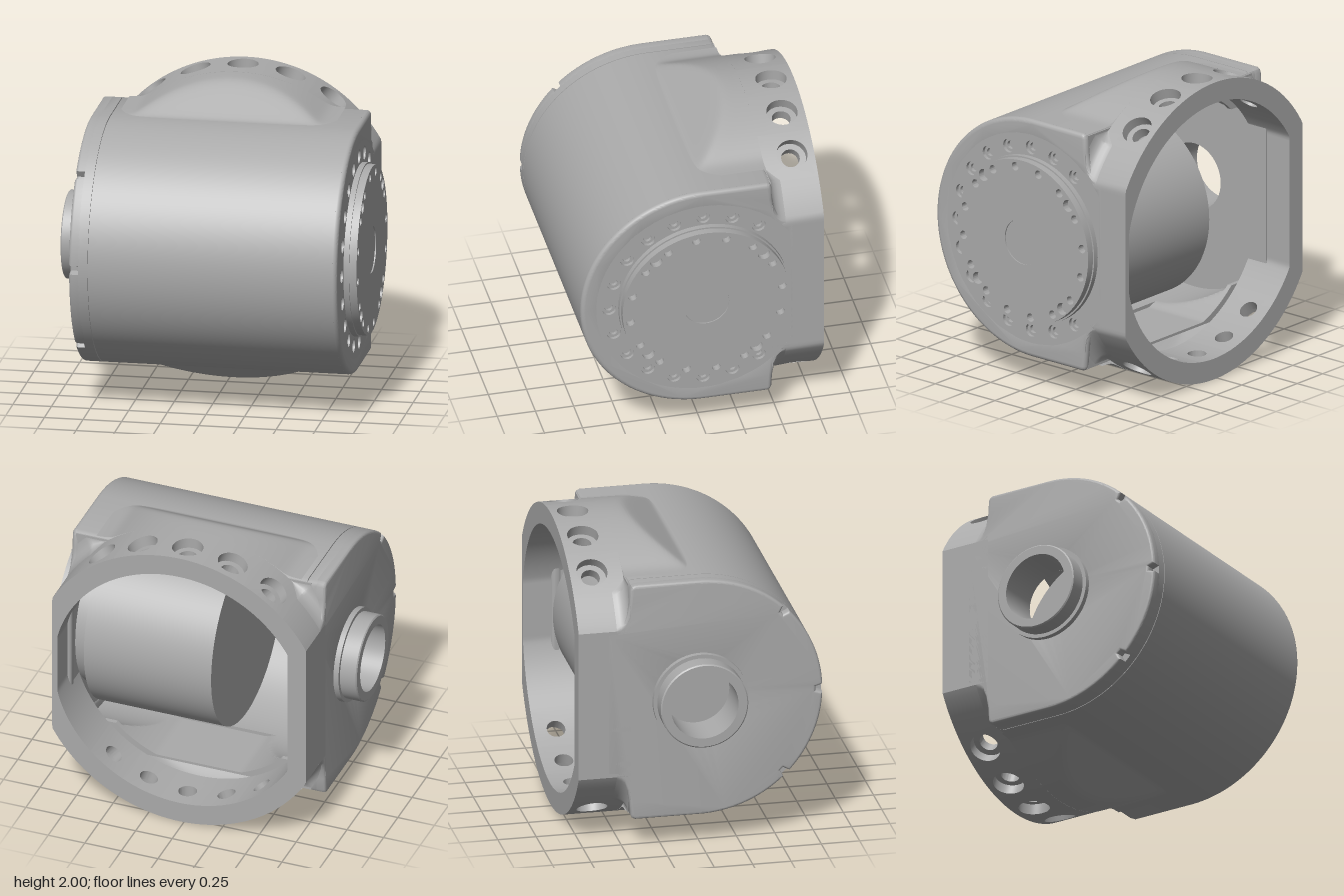
import * as THREE from 'three';
import { toCreasedNormals } from 'three/addons/utils/BufferGeometryUtils.js';

const CX = 0.03, CY = 1, RAD = Math.PI / 180;
const { clamp, lerp } = THREE.MathUtils;
const vec = ([a, b]) => new THREE.Vector2(a, b);

export function createModel() {
  const model = new THREE.Group();
  model.name = 'jointHousing';
  const metal = new THREE.MeshStandardMaterial({ color: 0xaaaaaa, side: THREE.DoubleSide });
  metal.name = 'grey metal';

  const add = (name, geo, x = 0, y = 0, z = 0) => {
    const mesh = new THREE.Mesh(toCreasedNormals(geo, 0.5), metal);
    mesh.name = name;
    mesh.position.set(x, y, z - 0.005);
    model.add(mesh);
    return mesh;
  };

  // Extrudes a side profile (drawn as -z, y) along x, from x0 to x1
  const extrudeX = (shape, x0, x1, bevel = 0) => new THREE.ExtrudeGeometry(shape, {
    depth: x1 - x0 - 2 * bevel, bevelEnabled: bevel > 0, bevelSize: bevel,
    bevelThickness: bevel, bevelOffset: -bevel, bevelSegments: 4, curveSegments: 32,
  }).rotateY(Math.PI / 2).translate(x0 + bevel, CY, 0);

  const cylinderX = (r, x0, x1) => new THREE.CylinderGeometry(r, r, x1 - x0, 96)
    .rotateZ(-Math.PI / 2).translate((x0 + x1) / 2, CY, 0);

  const hole = (shape, a, b, r) => {
    const p = new THREE.Path();
    p.absarc(a, b, r, 0, Math.PI * 2, true);
    shape.holes.push(p);
  };

  // Front half circle of the housing profile, top to bottom, optionally with screw notches
  const frontArc = (r, notched = false) => {
    const pts = [];
    for (let d = 90; d >= -90; d--) {
      const cut = notched && [-45, 0, 45].some((k) => Math.abs(d - k) < 1.5);
      const q = cut ? r - 0.045 : r;
      pts.push(vec([-q * Math.cos(d * RAD), q * Math.sin(d * RAD)]));
    }
    return pts;
  };
  const mirrored = (front, side) => new THREE.Shape([
    ...front, ...side.map(([a, b]) => vec([a, -b])), ...side.slice().reverse().map(vec),
  ]);
  // Rounded shoulder that runs down to the ring behind
  const shoulder = [[0.42, 0.8], [0.44, 0.79], [0.45, 0.77], [0.455, 0.68], [0.47, 0.6], [0.5, 0.53], [0.54, 0.495], [0.61, 0.49]];

  // Hollow housing wall
  const edge = [[0.42, 0.8], [0.44, 0.79], [0.45, 0.77]];
  add('housingWall', extrudeX(new THREE.Shape([
    ...frontArc(0.8),
    ...edge.map(([a, b]) => vec([a, -b])),
    vec([0, -0.77]),
    ...frontArc(0.745).reverse(),
    vec([0, 0.77]),
    ...edge.slice().reverse().map(vec),
  ]), -0.708, 0.87));

  // Cavity height: a round cavity along x crossed by a round bore along z
  const XA = -0.71, XB = 0.85;
  const cavity = (x, z) => Math.min(0.768, Math.max(
    Math.sqrt(Math.max(0, 0.82 ** 2 - (x - CX) ** 2)), Math.sqrt(0.745 ** 2 - z * z)));

  // Ceiling and floor where the two bores cross
  for (const sign of [1, -1]) {
    const g = new THREE.PlaneGeometry(XB - XA, 0.45, 80, 24).rotateX(-Math.PI / 2).translate((XA + XB) / 2, 0, -0.225);
    const p = g.attributes.position;
    for (let i = 0; i < p.count; i++) p.setY(i, sign * cavity(p.getX(i), p.getZ(i)));
    add(sign > 0 ? 'cavityCeiling' : 'cavityFloor', g, 0, CY, 0);
  }

  // Back wall with an opening that follows the cavity
  const back = new THREE.Shape([[-0.74, -0.785], [0.87, -0.785], [0.87, 0.785], [-0.74, 0.785]].map(vec));
  const top = Array.from({ length: 81 }, (_, i) => {
    const x = lerp(XA, XB, i / 80);
    return [x, cavity(x, -0.45)];
  });
  back.holes.push(new THREE.Path([...top.map(vec), ...top.slice().reverse().map(([x, y]) => vec([x, -y]))]));
  add('backWall', new THREE.ExtrudeGeometry(back, { depth: 0.03, bevelEnabled: false }), 0, CY, -0.45);

  // Output end plate: rounded rim around a flat face with counterbored bolt holes
  const facePoints = (r) => {
    const a = Math.acos(0.56 / 0.7);
    return Array.from({ length: 101 }, (_, i) => {
      const t = a + (2 * Math.PI - 2 * a) * i / 100;
      return vec([r * Math.cos(t), r * Math.sin(t)]);
    });
  };
  const rim = mirrored(frontArc(0.8), shoulder);
  rim.holes.push(new THREE.Path(facePoints(0.672)));
  add('endPlateRim', extrudeX(rim, 0.843, 0.9, 0.028));
  [['boltSeats', 0.027, 0.855, 0.878], ['endPlateFace', 0.045, 0.878, 0.9]].forEach(([name, r, x0, x1]) => {
    const face = new THREE.Shape(facePoints(0.702));
    for (let i = 2; i <= 18; i++) {
      hole(face, 0.615 * Math.cos(i * 18 * RAD), 0.615 * Math.sin(i * 18 * RAD), r);
    }
    add(name, extrudeX(face, x0, x1));
  });
  add('boltFloor', extrudeX(new THREE.Shape(facePoints(0.7)), 0.848, 0.856));

  // Output flange with two sizes of drilled hole
  add('flangeBase', cylinderX(0.557, 0.87, 0.935));
  const flange = new THREE.Shape();
  flange.absarc(0, 0, 0.547, 0, Math.PI * 2);
  const drill = (count, start, r) => {
    for (let i = 0; i < count; i++) {
      const t = (start + 360 * i / count) * RAD;
      hole(flange, 0.5 * Math.cos(t), 0.5 * Math.sin(t), r);
    }
  };
  drill(16, 97.4, 0.028);
  drill(4, 41, 0.04);
  hole(flange, 0, 0, 0.15);
  add('outputFlange', extrudeX(flange, 0.93, 0.983));
  add('flangeCentre', cylinderX(0.16, 0.92, 0.975));

  // Side cover: spigot in the seam, plain inner layer and notched, rounded outer layer
  [
    ['coverSpigot', frontArc(0.79), 0.01, -0.73, -0.7, 0],
    ['coverInner', frontArc(0.8), 0, -0.775, -0.713, 0],
    ['coverOuter', frontArc(0.8, true), 0, -0.835, -0.75, 0.018],
  ].forEach(([name, front, inset, x0, x1, bevel]) => {
    const s = mirrored(front, shoulder.map(([a, b]) => [a - inset, b - inset]));
    hole(s, 0, 0, 0.24);
    add(name, extrudeX(s, x0, x1, bevel));
  });

  // Cable tube on the cover
  const tube = [[0.31, 0.8], [0.31, 0.87], [0.285, 0.87], [0.285, 0.976], [0.277, 0.983], [0.22, 0.983], [0.22, 0.7], [0.25, 0.7]];
  add('cableTube', new THREE.LatheGeometry(tube.map(vec), 64).rotateZ(Math.PI / 2), 0, CY, 0);

  // Motor inside the housing, on a narrower hub
  add('motor', cylinderX(0.62, -0.12, 0.75));
  add('motorHub', cylinderX(0.52, 0.74, 0.86));

  // Skin over a row of closed cross-sections
  const loft = (sections, closed) => {
    const n = sections[0].length, m = sections.length, idx = [];
    for (let i = 0; i < (closed ? m : m - 1); i++) {
      for (let j = 0; j < n; j++) {
        const a = i * n + j, b = i * n + (j + 1) % n;
        const c = ((i + 1) % m) * n + j, d = ((i + 1) % m) * n + (j + 1) % n;
        idx.push(a, b, c, b, d, c);
      }
    }
    const g = new THREE.BufferGeometry();
    g.setAttribute('position', new THREE.Float32BufferAttribute(sections.flat(2), 3));
    g.setIndex(idx);
    return g;
  };

  // Point on the rear ring, cut flat at both sides
  const ringPoint = (r, t, z) => {
    const x = CX + r * Math.sin(t);
    return [r > 0.9 ? clamp(x, -0.835, 0.9) : clamp(x, -0.71, 0.865), CY + r * Math.cos(t), z];
  };
  const Z0 = -0.45, Z1 = -0.79, ZH = -0.645, RO = 1, RI = 0.86;

  // Plain sides of the ring
  for (const side of [1, -1]) {
    const sections = [];
    for (let d = 45; d <= 135; d += 1.5) {
      sections.push([[RO, Z0], [RO, Z1], [RI, Z1], [RI, Z0]].map(([r, z]) => ringPoint(r, side * d * RAD, z)));
    }
    add('ringSide', loft(sections, false));
  }

  // Hollow fillets between the ring and the four back corners of the housing
  for (const side of [1, -1]) {
    for (const flip of [0, 180]) {
      const sections = [];
      for (let d = 39; d <= 61; d++) {
        const s = clamp(0.77 / Math.cos(d * RAD) - 1, 0.001, 0.09);
        const profile = [0, 18, 36, 54, 72, 90].map((f) => [
          1 + s - s * Math.cos(f * RAD), Z0 - s + s * Math.sin(f * RAD)]);
        sections.push([...profile, [1, Z0]].map(([r, z]) => ringPoint(r, side * Math.abs(flip - d) * RAD, z)));
      }
      add('cornerFillet', loft(sections, false));
    }
  }

  // Ring segments, each with a counterbored hole
  const M = 48;
  const segmentLoop = (centre, R, r, blend) => Array.from({ length: M }, (_, j) => {
    const c = Math.cos(j / M * Math.PI * 2), s = Math.sin(j / M * Math.PI * 2);
    const k = 1 / Math.max(Math.abs(c), Math.abs(s));
    const t = lerp(r * c / R, 9 * RAD * c * k, blend);
    const z = lerp(r * s, (s > 0 ? Z0 - ZH : ZH - Z1) * s * k, blend);
    return ringPoint(R, centre + t, ZH + z);
  });
  for (const base of [0, 180]) {
    for (let i = -2; i <= 2; i++) {
      const t = (base + i * 18) * RAD;
      add('ringSegment', loft([
        [RO, 0.1, 1], [RO, 0.1, 0.5], [RO, 0.1, 0], [0.93, 0.1, 0],
        [0.93, 0.06, 0], [RI, 0.06, 0], [RI, 0.06, 0.5], [RI, 0.06, 1],
      ].map(([R, r, blend]) => segmentLoop(t, R, r, blend)), true));
    }
  }

  // Bulges that blend the ring into the housing, top and bottom
  const softMax = (a, b, e) => 0.5 * (a + b + Math.sqrt((a - b) ** 2 + e));
  const bulge = new THREE.PlaneGeometry(1.4, 0.45, 100, 60).rotateX(-Math.PI / 2).translate(0, 0, -0.225);
  const pos = bulge.attributes.position;
  for (let i = 0; i < pos.count; i++) {
    const x = pos.getX(i), z = pos.getZ(i);
    const arch = softMax(Math.sqrt(1 - x * x), 0.8, 0.0009);
    const ramp = softMax(0.8 + 0.7 * (-z - 0.02), 0.8, 0.0001);
    pos.setY(i, -softMax(-arch, -ramp, 0.0006) - 0.001);
  }
  bulge.computeVertexNormals();
  add('topBulge', bulge, CX, CY, 0);
  add('bottomBulge', bulge, CX, CY, 0).rotation.z = Math.PI;

  return model;
}
